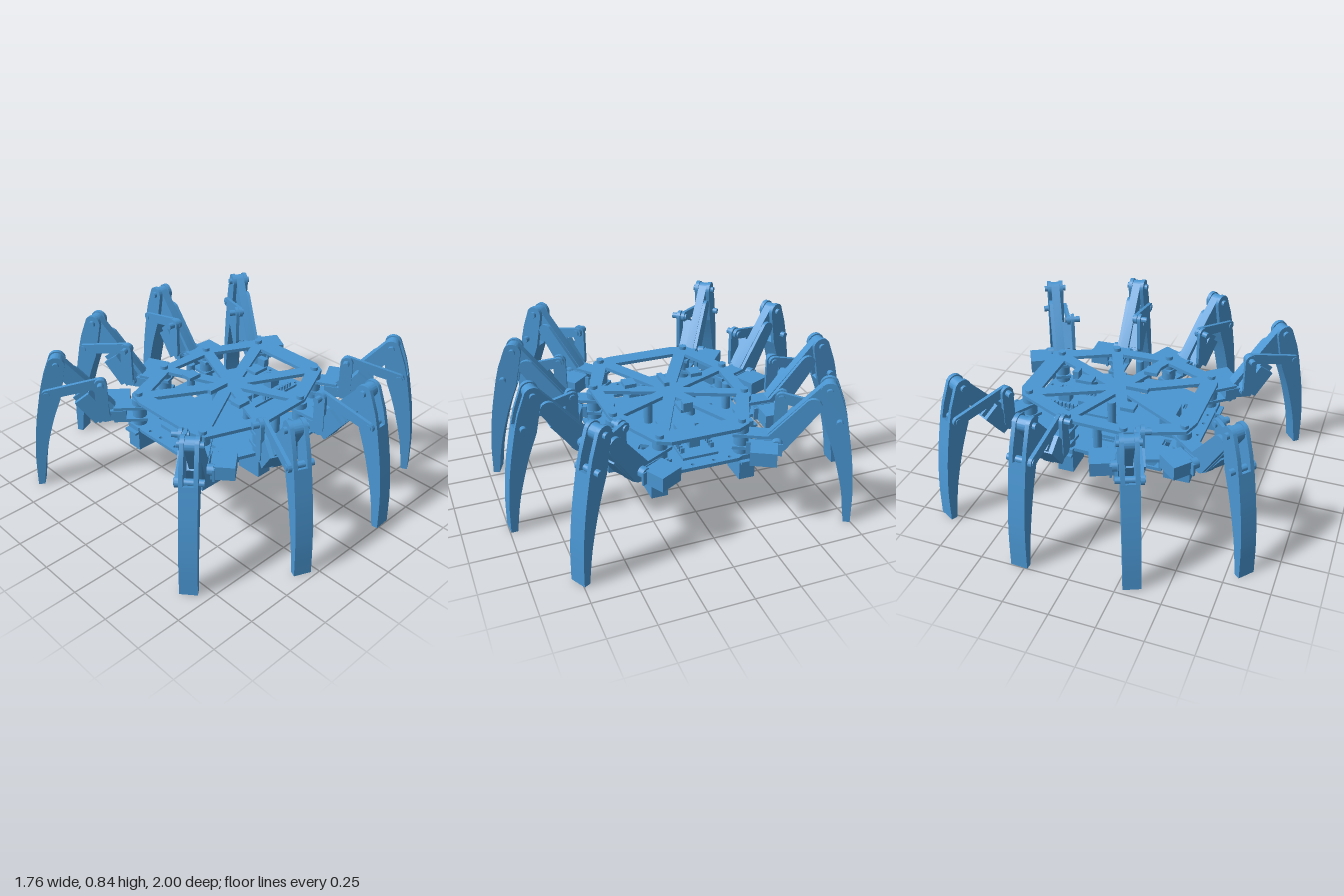
import * as THREE from 'three';
import { toCreasedNormals } from 'three/addons/utils/BufferGeometryUtils.js';

const mat = new THREE.MeshStandardMaterial({ color: 0x4a96d2 });

function add(parent, name, geo, x = 0, y = 0, z = 0) {
  const m = new THREE.Mesh(geo, mat);
  m.name = name;
  m.position.set(x, y, z);
  parent.add(m);
  return m;
}
const box = (p, name, w, h, d, x, y, z) => add(p, name, new THREE.BoxGeometry(w, h, d), x, y, z);
const post = (p, name, r, h, x, y, z) =>
  add(p, name, toCreasedNormals(new THREE.CylinderGeometry(r, r, h, 20), 0.6), x, y, z);
// cylinder lying along z
const pin = (p, name, r, len, x, y, z) => {
  const m = post(p, name, r, len, x, y, z);
  m.rotation.x = Math.PI / 2;
  return m;
};
const path = (pts) => pts.map(([x, y]) => new THREE.Vector2(x, y));

// upright slab in the XY plane, centred on z
function slab(p, name, shape, depth, z) {
  const g = new THREE.ExtrudeGeometry(shape, { depth, bevelEnabled: false, curveSegments: 10 });
  g.translate(0, 0, -depth / 2);
  return add(p, name, toCreasedNormals(g, 0.6), 0, 0, z);
}

// flat plate whose top is at y
function plate(p, name, outline, holes, y, thick) {
  const shape = new THREE.Shape(path(outline));
  shape.holes = holes;
  const g = new THREE.ExtrudeGeometry(shape, { depth: thick, bevelEnabled: false, curveSegments: 6 });
  g.rotateX(Math.PI / 2);
  return add(p, name, g, 0, y, 0);
}

// bar with round ends, from a (radius ra) to b (radius rb)
function barShape(a, b, ra, rb) {
  const t = Math.atan2(b[1] - a[1], b[0] - a[0]), q = Math.PI / 2;
  const s = new THREE.Shape();
  s.absarc(a[0], a[1], ra, t + q, t + 3 * q, false);
  s.absarc(b[0], b[1], rb, t - q, t + q, false);
  s.closePath();
  return s;
}

const rectHole = (x, z, w, d, turn = 0) => new THREE.Path(path(
  [[-w, -d], [w, -d], [w, d], [-w, d]].map(([u, v]) => [
    x + (u * Math.cos(turn) - v * Math.sin(turn)) / 2,
    z + (u * Math.sin(turn) + v * Math.cos(turn)) / 2])));
const roundHole = (x, z, r) => new THREE.Path().absarc(x, z, r, 0, Math.PI * 2);

// hip pivot, foot and swing servo centre of the back legs (x, z); the servo lies along x or z
const HIPS = [
  { hip: [-0.38, -0.265], foot: [-0.83, -0.64], servo: [-0.355, -0.265], alongX: true },
  { hip: [-0.08, -0.395], foot: [-0.32, -0.93], servo: [-0.08, -0.358], alongX: false },
  { hip: [0.25, -0.385], foot: [0.28, -0.98], servo: [0.25, -0.358], alongX: false },
  { hip: [0.55, -0.23], foot: [0.83, -0.75], servo: [0.525, -0.25], alongX: true },
];

// one leg: x runs outward from the hip, s picks the servo side
function makeLeg(s) {
  const leg = new THREE.Group();
  leg.name = 'leg';
  const hip = [0.19, 0.47], knee = [0.435, 0.792], low = [0.5, 0.62], horn = [0.2, 0.685];

  // hip bracket and its servo
  post(leg, 'hipPivot', 0.04, 0.16, 0, 0.46, 0);
  box(leg, 'hipBracketTop', 0.19, 0.018, 0.09, 0.05, 0.495, 0);
  box(leg, 'hipBracketBottom', 0.19, 0.018, 0.09, 0.05, 0.42, 0);
  box(leg, 'hipBracketBlock', 0.09, 0.06, 0.1, 0.12, 0.457, 0);
  box(leg, 'liftServo', 0.14, 0.08, 0.13, 0.125, 0.45, s * 0.125);
  box(leg, 'liftServoEar', 0.19, 0.07, 0.012, 0.125, 0.45, s * 0.08);
  pin(leg, 'hipAxle', 0.03, 0.16, hip[0], hip[1], 0);

  // thigh
  slab(leg, 'thigh', barShape(hip, knee, 0.065, 0.04), 0.05, 0);
  slab(leg, 'thighOuterPlate', barShape(hip, [0.36, 0.695], 0.06, 0.045), 0.02, s * 0.035);
  const servo = new THREE.Group();
  servo.name = 'kneeServo';
  servo.position.set(0.245, 0.545, 0);
  servo.rotation.z = Math.atan2(knee[1] - hip[1], knee[0] - hip[0]);
  box(servo, 'kneeServoBody', 0.17, 0.1, 0.1, 0, -0.015, s * -0.04);
  box(servo, 'kneeServoEar', 0.22, 0.085, 0.012, 0, -0.015, s * -0.06);
  leg.add(servo);

  // push-rod linkage
  slab(leg, 'crankArm', barShape([0.2, 0.5], horn, 0.035, 0.035), 0.02, s * -0.085);
  slab(leg, 'pushRod', barShape(horn, low, 0.03, 0.028), 0.02, s * -0.06);
  pin(leg, 'crankPin', 0.018, 0.09, horn[0], horn[1], s * -0.085);
  pin(leg, 'kneePin', 0.018, 0.13, knee[0], knee[1], 0);
  pin(leg, 'rodPin', 0.018, 0.15, low[0], low[1], 0);

  // curved shin tapering to the foot, forked at the knee
  const outer = [[0.613, 0], [0.607, 0.2], [0.582, 0.41], [0.541, 0.62]];
  const inner = [[0.43, 0.58], [0.488, 0.42], [0.546, 0.2], [0.576, 0]];
  const lower = new THREE.Shape();
  lower.moveTo(...outer[0]);
  lower.splineThru(path(outer.slice(1)));
  lower.lineTo(...inner[0]);
  lower.splineThru(path(inner.slice(1)));
  slab(leg, 'shin', lower, 0.095, 0);
  const fork = new THREE.Shape();
  fork.absarc(knee[0], knee[1], 0.047, 0.45, Math.PI + 0.1, false);
  fork.lineTo(...inner[0]);
  fork.lineTo(...outer[3]);
  fork.lineTo(0.52, 0.7);
  for (const k of [-1, 1]) slab(leg, 'shinFork', fork, 0.022, k * 0.0365);
  return leg;
}

export function createModel() {
  const model = new THREE.Group();
  model.name = 'eightLeggedRobot';
  const body = new THREE.Group();
  body.name = 'body';
  model.add(body);

  const half = [[-0.43, -0.2], [-0.4, -0.3], [-0.09, -0.42], [0.26, -0.41], [0.58, -0.26], [0.615, -0.19]];
  const mirrored = half.map(([x, z]) => [x, -z]).reverse();
  const outline = [...half, ...mirrored];

  // top plate: struts from the hub to every hip
  const ring = [...HIPS.map((h) => h.hip), ...HIPS.map((h) => [h.hip[0], -h.hip[1]]).reverse()];
  const hub = [0.085, 0];
  const cutouts = ring.map((a, i) => {
    const tri = [a, ring[(i + 1) % ring.length], hub];
    const cx = (tri[0][0] + tri[1][0] + hub[0]) / 3, cz = (tri[0][1] + tri[1][1]) / 3;
    return new THREE.Path(path(tri.map(([x, z]) => [cx + (x - cx) * 0.7, cz + (z - cz) * 0.7])));
  });
  plate(body, 'topPlate', outline, cutouts, 0.56, 0.02);

  // bottom plate with openings and screw holes
  const holes = [];
  for (const k of [-1, 1]) {
    holes.push(rectHole(0.08, k * 0.265, 0.12, 0.05), rectHole(0.335, k * 0.245, 0.05, 0.05, k * 0.6),
      rectHole(-0.26, k * 0.19, 0.04, 0.06));
    for (const z of [0.06, 0.15]) holes.push(roundHole(0.587, k * z, 0.01), roundHole(-0.4, k * z, 0.01));
  }
  plate(body, 'bottomPlate', outline, holes, 0.38, 0.02);

  // battery tray and cells
  const tray = new THREE.Group();
  tray.name = 'batteryTray';
  body.add(tray);
  box(tray, 'trayFloor', 0.53, 0.02, 0.48, 0.02, 0.22, 0);
  box(tray, 'trayTop', 0.53, 0.02, 0.48, 0.02, 0.345, 0);
  for (const k of [-1, 1]) box(tray, 'trayWall', 0.015, 0.13, 0.48, 0.02 + k * 0.2575, 0.28, 0);
  for (let i = 0; i < 4; i++) pin(tray, 'batteryCell', 0.056, 0.46, -0.165 + i * 0.118, 0.275, 0);

  // electronics between the plates
  box(body, 'controllerBoard', 0.42, 0.015, 0.2, 0.34, 0.395, 0);
  box(body, 'powerBoard', 0.12, 0.02, 0.28, -0.27, 0.39, 0);
  box(body, 'powerModule', 0.08, 0.07, 0.16, -0.22, 0.43, 0);
  box(body, 'controllerChip', 0.1, 0.03, 0.07, 0.29, 0.415, 0);
  box(body, 'connector', 0.07, 0.06, 0.06, 0.43, 0.43, 0);
  for (const k of [-1, 1]) {
    for (let i = 0; i < 10; i++) box(body, 'headerPin', 0.012, 0.035, 0.02, 0.28 + i * 0.024, 0.415, k * 0.085);
    for (const z of [0.13, 0.35]) post(body, 'standoff', 0.025, 0.16, 0.09, 0.46, k * z);
    box(body, 'switchBlock', 0.08, 0.022, 0.07, -0.04, 0.575, k * 0.2);
  }
  // small parts on the top plate
  box(body, 'sensorMount', 0.1, 0.02, 0.07, 0.3, 0.565, 0);
  box(body, 'sensor', 0.035, 0.05, 0.055, 0.35, 0.595, 0);
  box(body, 'topSwitch', 0.13, 0.025, 0.03, -0.02, 0.57, 0);

  // legs and swing servos, front and back
  for (const s of [1, -1]) for (const { hip, foot, servo, alongX } of HIPS) {
    const swing = new THREE.Group();
    swing.name = 'swingServo';
    swing.position.set(servo[0], 0, servo[1] * s);
    if (!alongX) swing.rotation.y = Math.PI / 2;
    box(swing, 'swingServoBody', 0.15, 0.15, 0.09, 0, 0.305, 0);
    box(swing, 'swingServoEar', 0.2, 0.014, 0.09, 0, 0.345, 0);
    body.add(swing);
    post(body, 'hipScrew', 0.022, 0.03, hip[0], 0.565, hip[1] * s);

    const leg = makeLeg(s);
    leg.position.set(hip[0], 0, hip[1] * s);
    leg.rotation.y = Math.atan2(-(foot[1] - hip[1]) * s, foot[0] - hip[0]);
    model.add(leg);
  }
  return model;
}
